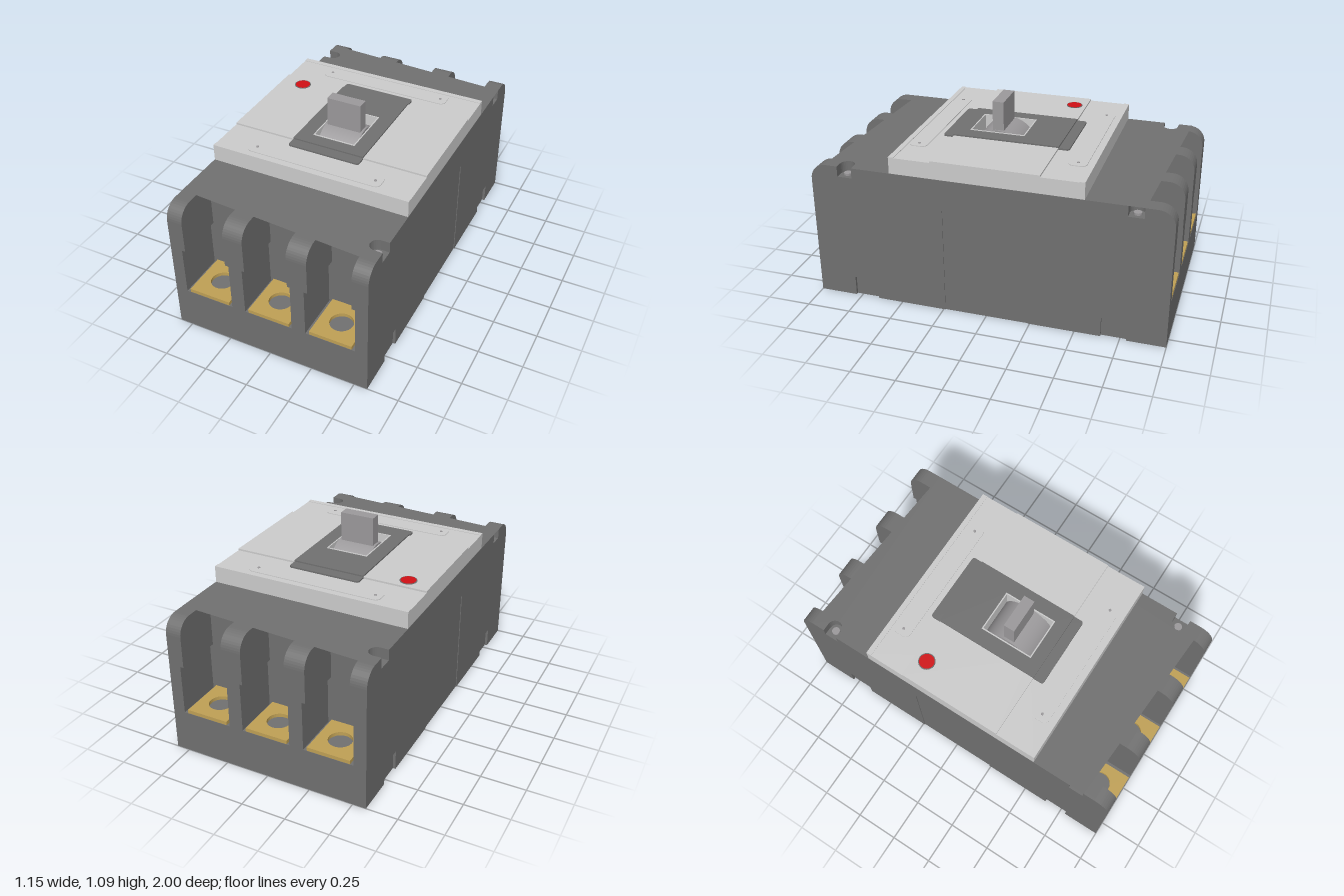
import * as THREE from 'three';
import { mergeGeometries } from 'three/addons/utils/BufferGeometryUtils.js';

const mat = (color, side = THREE.FrontSide) => new THREE.MeshStandardMaterial({ color, side });
const DARK = mat(0x707070), LIGHT = mat(0xcccccc), GREY = mat(0x9b999b);
const BRASS = mat(0xbfa055), RED = mat(0xd01015);
const V = (x, y) => new THREE.Vector2(x, y);

// Half outline of a lengthwise body slice (z, y), mirrored front to back
function sliceShape({ pocket, notch, pad, panel }) {
  const h = panel ? [[0.24, 0.62], [0.24, 0]] : [];
  if (pad) h.push([0.645, 0], [0.645, 0.115], [0.785, 0.115], [0.785, 0]);
  h.push([1, 0]);
  if (pocket) h.push([1, 0.245], [0.73, 0.245]);
  if (pocket === 'ledge') h.push([0.73, 0.53], [1, 0.53]);
  if (pocket === 'open') h.push([0.73, 0.8]);
  else for (let i = 0; i <= 10; i++) {
    const a = (i / 10) * Math.PI / 2;
    h.push([0.91 + 0.09 * Math.cos(a), 0.71 + 0.09 * Math.sin(a)]);
  }
  if (notch) h.push([0.845, 0.8], [0.845, 0.74], [0.755, 0.74], [0.755, 0.8]);
  const other = h.map(([z, y]) => [-z, y]).reverse();
  return new THREE.Shape([...h, ...other].map(p => V(...p)));
}

// Horizontal slab from an (x, z) shape, measured down from its top
function slabGeo(shape, top, height) {
  return new THREE.ExtrudeGeometry(shape, { depth: height, bevelEnabled: false, curveSegments: 16 })
    .rotateX(Math.PI / 2).translate(0, top, 0);
}

function rect(x0, x1, z0, z1, r = 0, Type = THREE.Shape) {
  const s = new Type();
  if (!r) return s.setFromPoints([V(x0, z0), V(x1, z0), V(x1, z1), V(x0, z1), V(x0, z0)]);
  s.moveTo(x0 + r, z0);
  s.lineTo(x1 - r, z0); s.absarc(x1 - r, z0 + r, r, -Math.PI / 2, 0);
  s.lineTo(x1, z1 - r); s.absarc(x1 - r, z1 - r, r, 0, Math.PI / 2);
  s.lineTo(x0 + r, z1); s.absarc(x0 + r, z1 - r, r, Math.PI / 2, Math.PI);
  s.lineTo(x0, z0 + r); s.absarc(x0 + r, z0 + r, r, Math.PI, Math.PI * 1.5);
  return s;
}

function withHole(shape, hole) {
  shape.holes.push(hole);
  return shape;
}

export function createModel() {
  const model = new THREE.Group();
  const add = (name, geo, material) => {
    const m = new THREE.Mesh(geo, material);
    m.name = name;
    model.add(m);
    return m;
  };

  // Body: slices across the width, stepped pockets at both ends
  const slices = [
    [0, 0.125, { pocket: 'open' }],
    [0.125, 0.14, { pocket: 'ledge' }],
    [0.14, 0.22, {}],
    [0.22, 0.24, { pocket: 'ledge' }],
    [0.24, 0.485, { pocket: 'open' }],
    [0.485, 0.505, { pocket: 'ledge', notch: true }],
    [0.505, 0.56, { notch: true }],
    [0.56, 0.571, { notch: true, pad: true }],
    [0.571, 0.575, { notch: true, pad: true, panel: true }],
  ];
  const parts = [];
  for (const [x0, x1, opts] of slices) {
    const g = new THREE.ExtrudeGeometry(sliceShape(opts), { depth: x1 - x0, bevelEnabled: false })
      .rotateY(Math.PI / 2);
    parts.push(g.clone().translate(x0, 0, 0), g.translate(-x1, 0, 0));
  }
  add('body', mergeGeometries(parts), DARK);

  // Rounded side notches with a screw in each
  const u = [V(0.575, 0.842)];
  for (let i = 0; i <= 14; i++) {
    const a = Math.PI / 2 + (i / 14) * Math.PI;
    u.push(V(0.53 + 0.042 * Math.cos(a), 0.8 + 0.042 * Math.sin(a)));
  }
  u.push(V(0.575, 0.758));
  const surround = [V(0.575, 0.755), V(0.485, 0.755), V(0.485, 0.845), V(0.575, 0.845), ...u];
  for (const sx of [-1, 1]) for (const sz of [-1, 1]) {
    const shape = new THREE.Shape(surround.map(p => V(p.x * sx, p.y * sz)));
    add('screwNotch', slabGeo(shape, 0.8, 0.06), DARK);
    add('screw', new THREE.CylinderGeometry(0.022, 0.022, 0.012, 20)
      .translate(0.53 * sx, 0.746, 0.8 * sz), GREY);
  }

  // Thin top skin with slanted ends, open over two opposite notches
  const half = [V(0.575, 0.92), ...u, V(0.575, -0.845)];
  const skin = new THREE.Shape([...half, ...half.map(p => V(-p.x, -p.y))]);
  add('topSkin', new THREE.ShapeGeometry(skin).rotateX(Math.PI / 2).translate(0, 0.8005, 0),
    mat(0x707070, THREE.DoubleSide));

  // Brass terminals, three at each end
  for (const x of [-0.3625, 0, 0.3625]) for (const s of [-1, 1]) {
    const hole = new THREE.Path().absarc(x, 0.865 * s, 0.065, 0, Math.PI * 2);
    const z = [0.73 * s, 0.998 * s].sort((a, b) => a - b);
    add('terminal', slabGeo(withHole(rect(x - 0.122, x + 0.122, z[0], z[1]), hole), 0.266, 0.021), BRASS);
  }

  // Light cover with a raised middle band, cut out for the lever
  const opening = () => rect(-0.125, 0.125, -0.085, 0.23, 0, THREE.Path);
  add('cover', slabGeo(withHole(rect(-0.574, 0.574, -0.535, 0.535), opening()), 0.893, 0.093), LIGHT);
  add('coverBand', slabGeo(withHole(rect(-0.574, 0.574, -0.3, 0.3), opening()), 0.903, 0.01), LIGHT);
  for (const s of [-1, 1]) {
    add('coverEdge', slabGeo(rect(-0.574, 0.574, s * 0.52 - 0.015, s * 0.52 + 0.015), 0.896, 0.003), LIGHT);
    add('labelPlate', slabGeo(rect(-0.39, 0.39, s * 0.445 - 0.05, s * 0.445 + 0.05, 0.03), 0.897, 0.004), LIGHT);
    for (const x of [-0.35, 0.35])
      add('labelPin', new THREE.CylinderGeometry(0.008, 0.008, 0.003, 12).translate(x, 0.898, s * 0.445), GREY);
  }

  // Dark escutcheon around the lever, its ends stepping down past the band
  add('escutcheonEnds', slabGeo(withHole(rect(-0.21, 0.21, -0.36, 0.36, 0.015), opening()), 0.902, 0.009), DARK);
  add('escutcheon', slabGeo(withHole(rect(-0.21, 0.21, -0.302, 0.302), opening()), 0.911, 0.008), DARK);
  add('openingFrame', slabGeo(withHole(rect(-0.125, 0.125, -0.085, 0.23),
    rect(-0.118, 0.118, -0.078, 0.223, 0, THREE.Path)), 0.914, 0.11), LIGHT);

  // Lever on a rounded barrel
  add('leverBarrel', new THREE.CylinderGeometry(0.158, 0.158, 0.226, 48, 1)
    .rotateZ(Math.PI / 2).translate(0, 0.762, 0.0725), GREY);
  add('leverHandle', slabGeo(rect(-0.1, 0.1, 0.043, 0.107), 1.085, 0.19), GREY);

  // Red push button in a dark ring
  add('button', new THREE.CylinderGeometry(0.042, 0.042, 0.01, 32).translate(-0.44, 0.902, -0.23), RED);
  const ring = new THREE.Shape().absarc(-0.44, -0.23, 0.047, 0, Math.PI * 2);
  ring.holes.push(new THREE.Path().absarc(-0.44, -0.23, 0.042, 0, Math.PI * 2));
  add('buttonRing', slabGeo(ring, 0.906, 0.005), DARK);

  return model;
}
